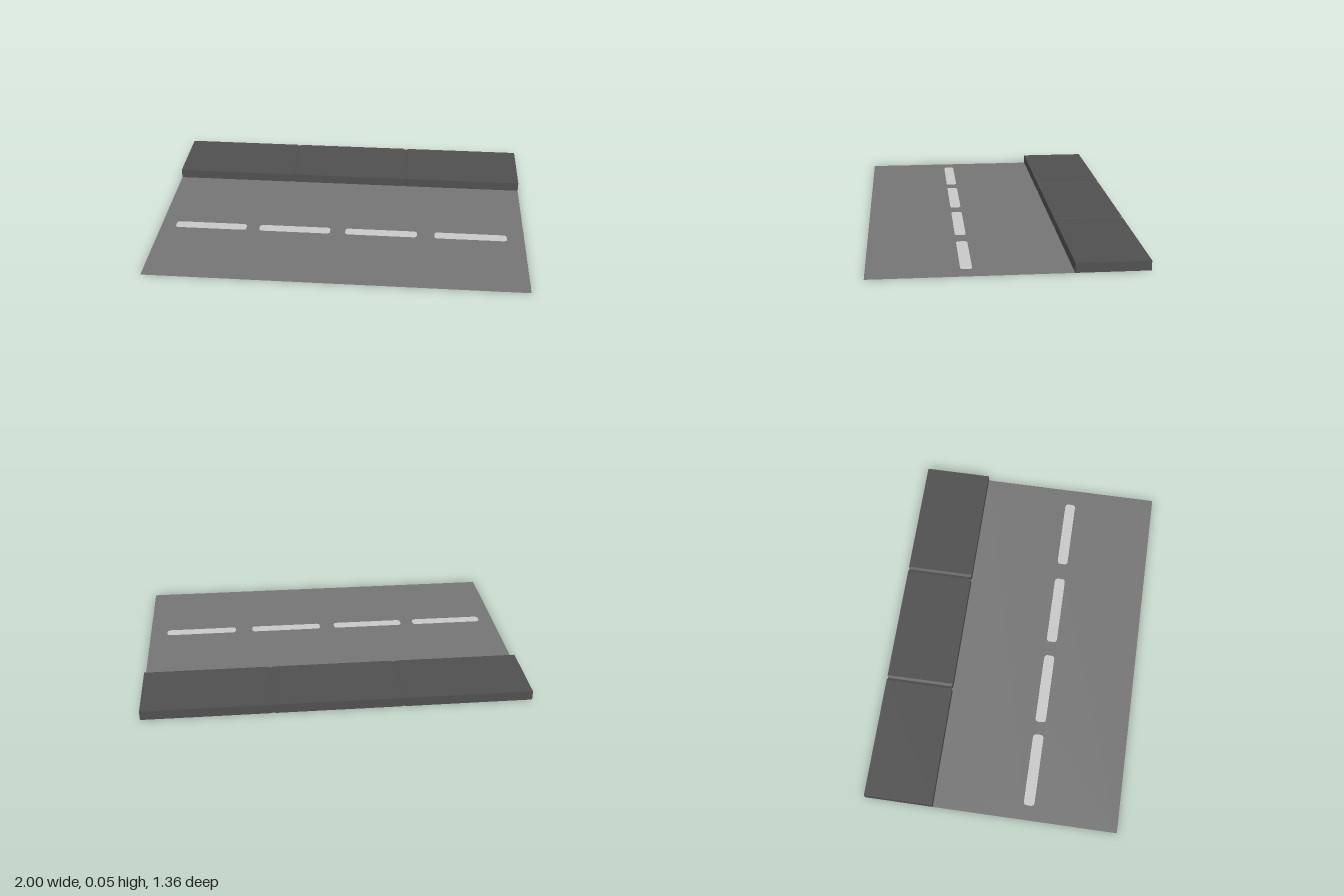
import * as THREE from 'three';

const mat = (name, color) => new THREE.MeshStandardMaterial({ name, color, side: THREE.DoubleSide });

// Rounded dash outline in the x/z plane (shape y = -z)
function dashPoints(x0, x1, z0, z1) {
  const r = 0.02, y0 = -z1, y1 = -z0;
  const s = new THREE.Shape();
  s.moveTo(x0 + r, y0);
  s.lineTo(x1 - r, y0);
  s.quadraticCurveTo(x1, y0, x1, y0 + r);
  s.lineTo(x1, y1 - r);
  s.quadraticCurveTo(x1, y1, x1 - r, y1);
  s.lineTo(x0 + r, y1);
  s.quadraticCurveTo(x0, y1, x0, y1 - r);
  s.lineTo(x0, y0 + r);
  s.quadraticCurveTo(x0, y0, x0 + r, y0);
  return s.getPoints(5);
}

// Paving slab: box whose edges taper slightly where it meets a neighbour
function slabGeometry(w, h, d, leftJoint, rightJoint) {
  const g = new THREE.BoxGeometry(w, h, d, 3, 1, 1).toNonIndexed();
  const p = g.attributes.position;
  const run = 0.014, drop = 0.005;
  for (let i = 0; i < p.count; i++) {
    const x = p.getX(i), side = Math.sign(x);
    if (Math.abs(x) < w / 2 - 0.001) {
      p.setX(i, side * (w / 2 - run));
    } else if (side < 0 ? leftJoint : rightJoint) {
      if (p.getY(i) > 0) p.setY(i, h / 2 - drop);
      p.setZ(i, Math.sign(p.getZ(i)) * (d / 2 - drop));
    }
  }
  g.computeVertexNormals();
  return g;
}

export function createModel() {
  const model = new THREE.Group();
  model.name = 'roadSection';
  const asphalt = mat('asphalt grey', 0x757575);
  const paving = mat('paving dark grey', 0x505050);
  const paint = mat('lane paint light grey', 0xc8c8c8);

  const zBack = -0.68, zKerb = -0.312, zFront = 0.68, height = 0.05;

  const add = (name, geometry, material) => {
    const m = new THREE.Mesh(geometry, material);
    m.name = name;
    model.add(m);
    return m;
  };
  const flat = (shape) => new THREE.ShapeGeometry(shape).rotateX(-Math.PI / 2);

  // Road surface with the lane dashes inlaid
  const road = new THREE.Shape([
    new THREE.Vector2(-1, -zFront), new THREE.Vector2(1, -zFront),
    new THREE.Vector2(1, -zKerb), new THREE.Vector2(-1, -zKerb),
  ]);
  [[-0.92, -0.525], [-0.453, -0.06], [0.023, 0.417], [0.512, 0.906]].forEach(([a, b], i) => {
    const pts = dashPoints(a, b, 0.168, 0.226);
    road.holes.push(new THREE.Path(pts));
    add('laneDash' + (i + 1), flat(new THREE.Shape(pts)), paint);
  });
  add('roadSurface', flat(road), asphalt);

  // Raised pavement of three slabs
  const w = 2 / 3;
  for (let i = 0; i < 3; i++) {
    const slab = add('pavementSlab' + (i + 1),
      slabGeometry(w, height, zKerb - zBack, i > 0, i < 2), paving);
    slab.position.set((i - 1) * w, height / 2, (zBack + zKerb) / 2);
  }
  return model;
}
